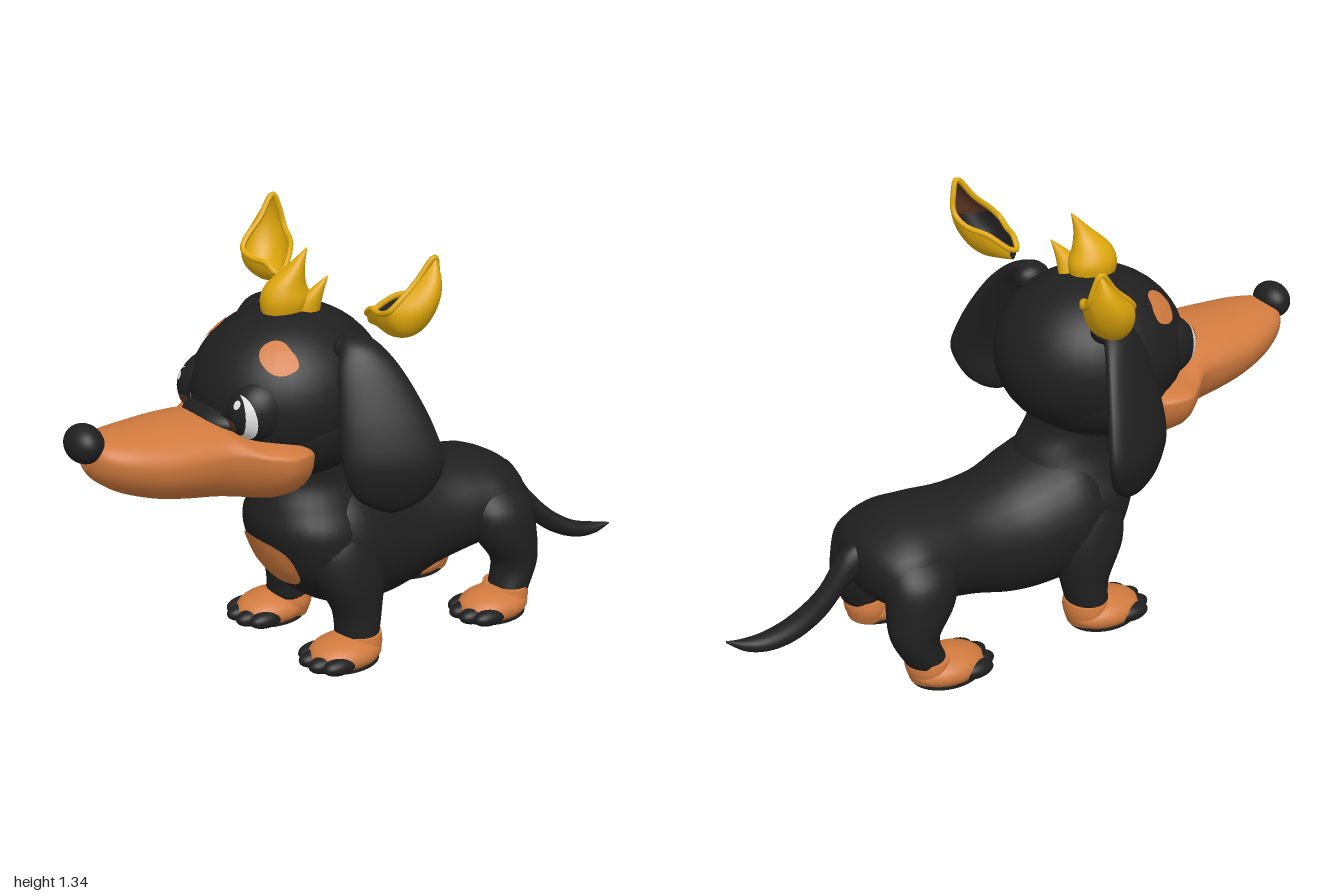
import * as THREE from 'three';

const V = (x, y, z) => new THREE.Vector3(x, y, z);

// Smoothly subdivides a table of section rows.
function smooth(rows, steps = 5) {
  const out = [], at = (i) => rows[Math.min(Math.max(i, 0), rows.length - 1)];
  for (let i = 0; i < rows.length - 1; i++) {
    for (let s = 0; s < steps; s++) {
      const t = s / steps;
      out.push(at(i).map((b, k) => {
        const a = at(i - 1)[k], c = at(i + 1)[k], d = at(i + 2)[k];
        return b + 0.5 * t * (c - a + t * (2 * a - 5 * b + 4 * c - d + t * (3 * (b - c) + d - a)));
      }));
    }
  }
  out.push(rows[rows.length - 1]);
  return out;
}

// Skins rings { c, u, v, w }: centre, half axes, optional lower half axis w.
function loft(rows, toRing, open = false) {
  const n = 32, cols = open ? n + 1 : n, pos = [], idx = [];
  const rings = smooth(rows).map((r) => toRing(...r));
  for (const { c, u, v, w } of rings) {
    for (let j = 0; j < cols; j++) {
      const a = (j / n) * Math.PI * (open ? 1 : 2), s = Math.sin(a);
      const p = c.clone().addScaledVector(u, Math.cos(a)).addScaledVector(s < 0 && w ? w : v, s);
      pos.push(p.x, p.y, p.z);
    }
  }
  const last = (rings.length - 1) * cols;
  for (let i = 0; i < last; i += cols) {
    for (let j = 0; j < n; j++) {
      const a = i + j, b = i + ((j + 1) % cols);
      idx.push(a, b, b + cols, a, b + cols, a + cols);
    }
  }
  if (!open) {
    const m = pos.length / 3, e = rings[rings.length - 1].c;
    pos.push(...rings[0].c.toArray(), ...e.toArray());
    for (let j = 0; j < n; j++) {
      const k = (j + 1) % n;
      idx.push(m, k, j, m + 1, last + j, last + k);
    }
  }
  const g = new THREE.BufferGeometry();
  g.setAttribute('position', new THREE.Float32BufferAttribute(pos, 3));
  g.setIndex(idx);
  g.computeVertexNormals();
  return g;
}

// Section layouts for lofts running up and backward.
const upRing = (y, x, z, rx, rz) => ({ c: V(x, y, z), u: V(0, 0, rz), v: V(rx, 0, 0) });
const backRing = (z, y, x, rx, ry) => ({ c: V(x, y, z), u: V(0, ry, 0), v: V(rx, 0, 0) });

function flip(geo) {
  const g = geo.clone(), a = g.index.array;
  for (let i = 0; i < a.length; i += 3) [a[i], a[i + 1]] = [a[i + 1], a[i]];
  g.computeVertexNormals();
  return g;
}
const mirror = (geo) => flip(geo.clone().scale(-1, 1, 1));

const ball = (x, y, z, rx, ry, rz) =>
  new THREE.SphereGeometry(1, 36, 24).scale(rx, ry, rz).translate(x, y, z);

// Thin coloured patch laid onto the front of the target meshes.
function decal(targets, cx, cy, rx, ry, rot, lift, power = 1) {
  const g = new THREE.RingGeometry(0.001, 1, 32, 6), p = g.attributes.position;
  const ray = new THREE.Raycaster(), c = Math.cos(rot), s = Math.sin(rot);
  for (let i = 0; i < p.count; i++) {
    const r = Math.hypot(p.getX(i), p.getY(i)), a = Math.atan2(p.getY(i), p.getX(i));
    const bend = (t) => Math.sign(t) * Math.abs(t) ** power * r;
    const x = bend(Math.cos(a)) * rx, y = bend(Math.sin(a)) * ry;
    const px = cx + x * c - y * s, py = cy + x * s + y * c;
    ray.set(V(px, py, 2), V(0, 0, -1));
    const hit = ray.intersectObjects(targets)[0];
    p.setXYZ(i, px, py, (hit ? hit.point.z : 0.3) + lift);
  }
  g.computeVertexNormals();
  return g;
}

export function createModel() {
  const model = new THREE.Group();
  const mat = (name, color) => Object.assign(new THREE.MeshStandardMaterial({ color }), { name });
  const black = mat('black coat', 0x1f1f1f), tan = mat('tan fur', 0xd07a3e);
  const gold = mat('gold', 0xe0a80c), white = mat('eye white', 0xe6e6e6);
  const brown = mat('dark brown', 0x583422);
  const add = (name, geo, material) => {
    const m = new THREE.Mesh(geo, material);
    m.name = name;
    model.add(m);
    return m;
  };
  const pair = (name, geo, material) => {
    add(name + 'Right', mirror(geo), material);
    return add(name + 'Left', geo, material);
  };

  // Long torso, chest with neck, and tail
  const torso = add('torso', loft([
    [0.30, 0.38, 0, 0.10, 0.09], [0.24, 0.37, 0, 0.185, 0.17], [0.12, 0.36, 0, 0.235, 0.235],
    [0, 0.335, 0, 0.23, 0.23], [-0.12, 0.315, 0, 0.205, 0.205], [-0.25, 0.325, 0, 0.195, 0.178],
    [-0.38, 0.342, 0, 0.21, 0.165], [-0.48, 0.348, 0, 0.225, 0.15], [-0.56, 0.345, 0, 0.2, 0.12],
    [-0.61, 0.35, 0, 0.12, 0.075], [-0.625, 0.35, 0, 0.01, 0.01],
  ], backRing), black);
  const chest = add('chestAndNeck', loft([
    [0.17, 0, 0.15, 0.05, 0.04], [0.22, 0, 0.15, 0.15, 0.11], [0.30, 0, 0.16, 0.215, 0.16],
    [0.42, 0, 0.17, 0.22, 0.19], [0.50, 0, 0.158, 0.182, 0.192], [0.57, 0, 0.155, 0.148, 0.17],
    [0.63, 0, 0.17, 0.142, 0.145], [0.69, 0, 0.18, 0.145, 0.14],
  ], upRing), black);
  add('chestPatch', decal([torso, chest], 0, 0.315, 0.13, 0.08, 0, 0.006, 0.75), tan);
  add('tail', loft([
    [-0.55, 0.375, 0, 0.05, 0.05], [-0.64, 0.35, 0, 0.042, 0.06], [-0.72, 0.245, 0.01, 0.033, 0.05],
    [-0.80, 0.165, 0.04, 0.037, 0.04], [-0.88, 0.122, 0.07, 0.036, 0.03],
    [-0.95, 0.115, 0.095, 0.024, 0.02], [-1, 0.128, 0.122, 0.002, 0.003],
  ], backRing), black);

  // Legs
  pair('frontLeg', loft([
    [0.075, 0.188, 0.115, 0.076, 0.066], [0.16, 0.18, 0.11, 0.08, 0.08],
    [0.28, 0.165, 0.13, 0.094, 0.12], [0.40, 0.135, 0.14, 0.092, 0.115], [0.49, 0.1, 0.14, 0.05, 0.06],
  ], upRing), black);
  pair('hindLeg', loft([
    [0.075, 0.205, -0.485, 0.07, 0.066], [0.16, 0.195, -0.515, 0.078, 0.076],
    [0.26, 0.182, -0.485, 0.093, 0.11], [0.36, 0.165, -0.47, 0.088, 0.112],
    [0.44, 0.12, -0.47, 0.045, 0.065],
  ], upRing), black);

  // Paws: tan top and cuff, black toes and sole
  for (const [name, x, z] of [['front', 0.2, 0.17], ['hind', 0.212, -0.415]]) {
    const paw = ball(x, 0.035, z, 0.096, 0.056, 0.125), p = paw.attributes.position;
    for (let i = 0; i < p.count; i++) p.setY(i, Math.max(p.getY(i), 0.004));
    paw.computeVertexNormals();
    pair(name + 'Paw', paw, tan);
    pair(name + 'Cuff', loft([
      [0.004, x - 0.01, z - 0.06, 0.066, 0.058], [0.05, x - 0.01, z - 0.06, 0.082, 0.07],
      [0.088, x - 0.01, z - 0.06, 0.078, 0.068],
    ], upRing), tan);
    pair(name + 'Sole', new THREE.CylinderGeometry(1, 1, 0.008, 32)
      .scale(0.09, 1, 0.115).translate(x, 0.004, z), black);
    for (const [k, dx, dz] of [[1, -0.066, 0.066], [2, -0.026, 0.092], [3, 0.026, 0.092], [4, 0.066, 0.066]]) {
      pair(name + 'Toe' + k, ball(x + dx, 0.028, z + dz, 0.034, 0.028, 0.06), black);
    }
  }

  // Head, muzzle and nose
  const skull = add('skull', ball(0, 0.87, 0.235, 0.285, 0.26, 0.305), black);
  add('jawBase', ball(0, 0.8, 0.235, 0.28, 0.2, 0.25), black);
  add('noseBridge', ball(0, 0.835, 0.5, 0.125, 0.05, 0.085), black);
  add('muzzle', loft([
    [0.29, 0.76, 0.63, 0.16, 0.8], [0.31, 0.78, 0.585, 0.24, 0.8], [0.35, 0.797, 0.568, 0.285, 0.82],
    [0.42, 0.803, 0.573, 0.3, 0.82], [0.48, 0.81, 0.585, 0.255, 0.8], [0.55, 0.852, 0.597, 0.196, 0.68],
    [0.65, 0.865, 0.615, 0.18, 0.62], [0.75, 0.865, 0.64, 0.165, 0.6], [0.85, 0.865, 0.68, 0.132, 0.6],
    [0.92, 0.857, 0.73, 0.085, 0.6], [0.945, 0.84, 0.77, 0.03, 0.6],
  ], (z, top, low, w, split) => {
    const y = low + split * (top - low);
    return { c: V(0, y, z), u: V(w, 0, 0), v: V(0, top - y, 0), w: V(0, y - low, 0) };
  }), tan);
  add('nose', ball(0, 0.85, 0.945, 0.07, 0.058, 0.055), black);

  // Bulging eyes and brow spots
  const on = [skull, pair('eyeball', ball(0.135, 0.88, 0.42, 0.088, 0.1, 0.105), black)];
  pair('eyeWhite', decal(on, 0.147, 0.873, 0.059, 0.07, 0, 0.004), white);
  pair('eyeDark', decal(on, 0.133, 0.88, 0.052, 0.066, 0, 0.007), black);
  pair('iris', decal(on, 0.122, 0.845, 0.03, 0.022, 0.3, 0.009), brown);
  pair('eyeGlint', decal(on, 0.155, 0.918, 0.011, 0.013, 0, 0.01), white);
  pair('brow', decal(on, 0.167, 1.035, 0.06, 0.021, -0.65, 0.008, 0.85), tan);

  // Hanging ears, turned slightly forward
  const turn = 0.45, sn = Math.sin(turn), cs = Math.cos(turn);
  pair('ear', loft([
    [0.566, 0.4, 0.14, 0.004, 0.01], [0.585, 0.4, 0.14, 0.025, 0.06], [0.63, 0.405, 0.145, 0.04, 0.115],
    [0.72, 0.413, 0.145, 0.046, 0.15], [0.82, 0.385, 0.15, 0.045, 0.142],
    [0.92, 0.345, 0.155, 0.04, 0.118], [1, 0.305, 0.16, 0.036, 0.092],
    [1.05, 0.27, 0.16, 0.036, 0.064], [1.075, 0.243, 0.16, 0.026, 0.04], [1.086, 0.225, 0.16, 0.004, 0.008],
  ], (y, x, z, thick, wide) => ({
    c: V(x, y, z), u: V(-sn * wide, 0, cs * wide), v: V(cs * thick, 0, sn * thick),
  })), black);
  pair('earRoot', ball(0.22, 1.04, 0.16, 0.045, 0.045, 0.06), black);

  // Hollow curled horns floating above the ears
  const hornRows = [
    [0.234, 1.105, 0.232, 1.14, 0.012, 0.1], [0.27, 1.1, 0.27, 1.175, 0.045, 0.08],
    [0.34, 1.09, 0.33, 1.185, 0.072, 0.065], [0.41, 1.115, 0.375, 1.205, 0.08, 0.06],
    [0.452, 1.19, 0.39, 1.23, 0.07, 0.048], [0.448, 1.265, 0.398, 1.275, 0.038, 0.022],
    [0.41, 1.335, 0.408, 1.333, 0.002, 0],
  ];
  const hornRing = (bx, by, rx, ry, w, z) => ({
    c: V(rx, ry, z), u: V(0, -0.25 * w, w), v: V(bx - rx, by - ry, 0),
  });
  const horn = loft(hornRows, hornRing, true);
  const edge = (side) => hornRows.map((r) => {
    const { c, u } = hornRing(...r);
    return c.addScaledVector(u, side);
  });
  const rim = new THREE.CatmullRomCurve3([...edge(1), ...edge(-1).reverse().slice(1)], true);
  pair('horn', horn, gold);
  pair('hornRim', new THREE.TubeGeometry(rim, 72, 0.009, 8, true), gold);
  add('hornLiningLeft', flip(loft(hornRows.slice(0, 5), hornRing, true)), black);
  add('hornTipLiningLeft', flip(loft(hornRows.slice(4), hornRing, true)), brown);
  add('hornLiningRight', flip(mirror(horn)), gold);

  // Two-pointed tuft on the crown
  add('tuft', loft([
    [1.09, 0.01, 0.25, 0.05, 0.07], [1.15, 0.012, 0.25, 0.066, 0.08], [1.2, 0.018, 0.25, 0.053, 0.062],
    [1.25, 0.036, 0.23, 0.028, 0.03], [1.308, 0.05, 0.197, 0.002, 0.002],
  ], upRing), gold);
  add('tuftSide', loft([
    [1.1, 0.045, 0.2, 0.035, 0.045], [1.16, 0.062, 0.185, 0.026, 0.032], [1.22, 0.083, 0.145, 0.002, 0.002],
  ], upRing), gold);

  return model;
}
